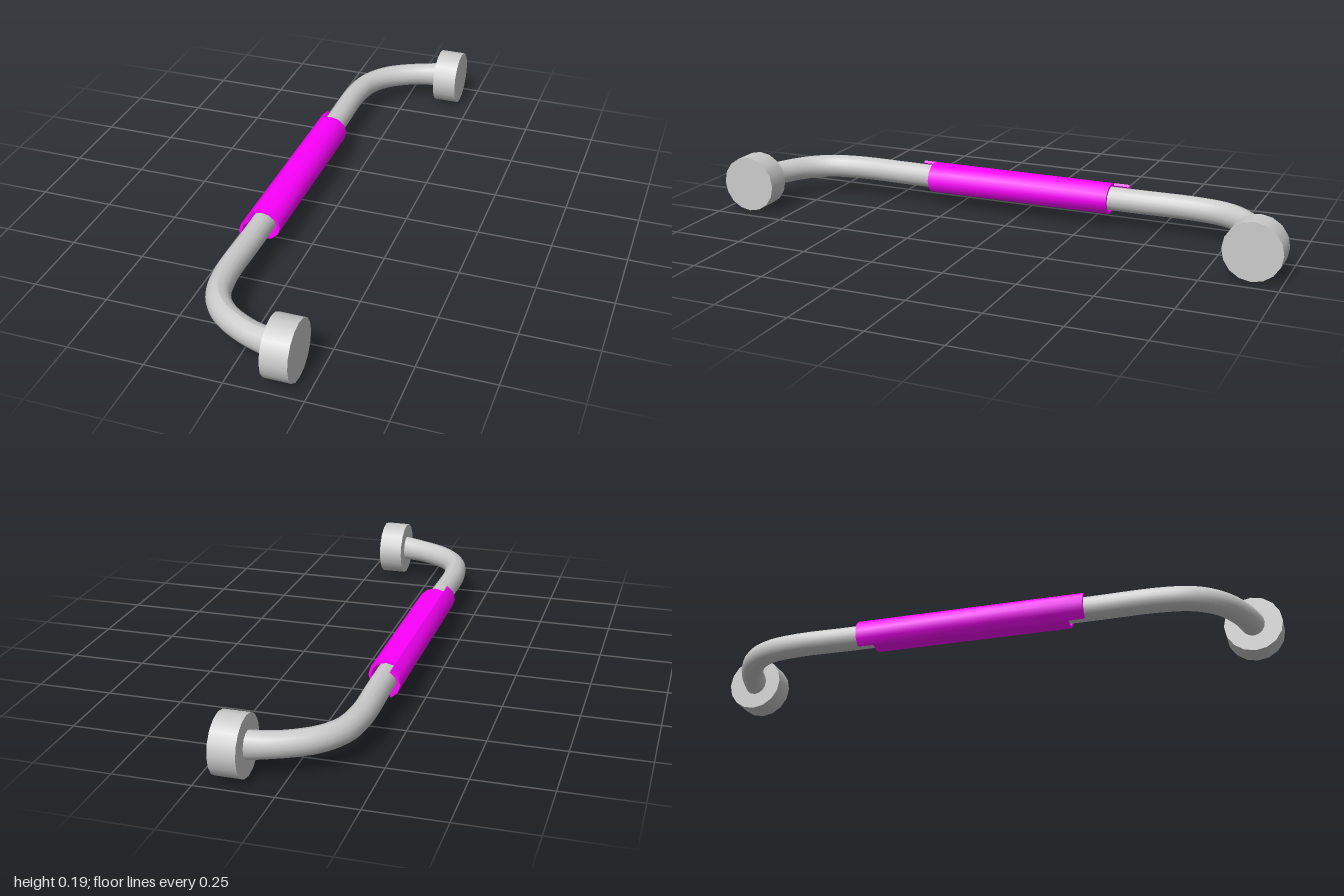
import * as THREE from 'three';
import { toCreasedNormals } from 'three/addons/utils/BufferGeometryUtils.js';

const CY = 0.097; // height of the handle's centre line

// Thick-walled 12-sided arc, extruded along z and centred on z = 0
function arcShell(fromStep, toStep, length) {
  const rim = (rx, ry) => {
    const pts = [];
    for (let i = fromStep; i <= toStep; i++) {
      const a = (i * Math.PI) / 6;
      pts.push(new THREE.Vector2(rx * Math.cos(a), ry * Math.sin(a)));
    }
    return pts;
  };
  const shape = new THREE.Shape([...rim(0.06, 0.054), ...rim(0.05, 0.045).reverse()]);
  const geo = new THREE.ExtrudeGeometry(shape, { depth: length, bevelEnabled: false });
  geo.translate(0, 0, -length / 2);
  return toCreasedNormals(geo, 0.6);
}

export function createModel() {
  const model = new THREE.Group();
  const grey = new THREE.MeshStandardMaterial({ color: 0xcccccc });
  const magenta = new THREE.MeshStandardMaterial({ color: 0xff00ff });

  const add = (name, geo, mat, x, y, z) => {
    const mesh = new THREE.Mesh(geo, mat);
    mesh.name = name;
    mesh.position.set(x, y, z);
    model.add(mesh);
    return mesh;
  };

  // Bent bar: half the path, mirrored to the other end
  const half = [
    [0.13, 0.905], [0.03, 0.874], [-0.067, 0.815], [-0.12, 0.742], [-0.142, 0.64], [-0.142, 0.4],
  ];
  const path = [
    ...half.map(([x, z]) => new THREE.Vector3(x, 0, z)),
    ...half.slice().reverse().map(([x, z]) => new THREE.Vector3(x, 0, -z)),
  ];
  const bar = new THREE.TubeGeometry(new THREE.CatmullRomCurve3(path), 96, 0.039, 16);
  // Slightly tall section that flares towards the mounts
  const p = bar.attributes.position;
  for (let i = 0; i < p.count; i++) {
    const flare = Math.max(0, (p.getX(i) - 0.04) / 0.07);
    p.setY(i, p.getY(i) * (1.05 + 0.1 * flare));
  }
  bar.computeVertexNormals();
  add('bar', bar, grey, 0, CY + 0.002, 0);

  // Round mounts at both ends
  for (const side of [1, -1]) {
    const mount = add(side > 0 ? 'frontMount' : 'backMount',
      new THREE.CylinderGeometry(0.097, 0.097, 0.086, 16), grey, 0.157, CY, side * 0.903);
    mount.rotation.z = Math.PI / 2;
  }

  // Grip sleeve: the outer side is longer, leaving a tab at each end
  add('gripInnerSide', arcShell(-4, 4, 0.67), magenta, -0.14, CY + 0.002, 0);
  add('gripOuterSide', arcShell(4, 8, 0.78), magenta, -0.14, CY + 0.002, 0);

  return model;
}
